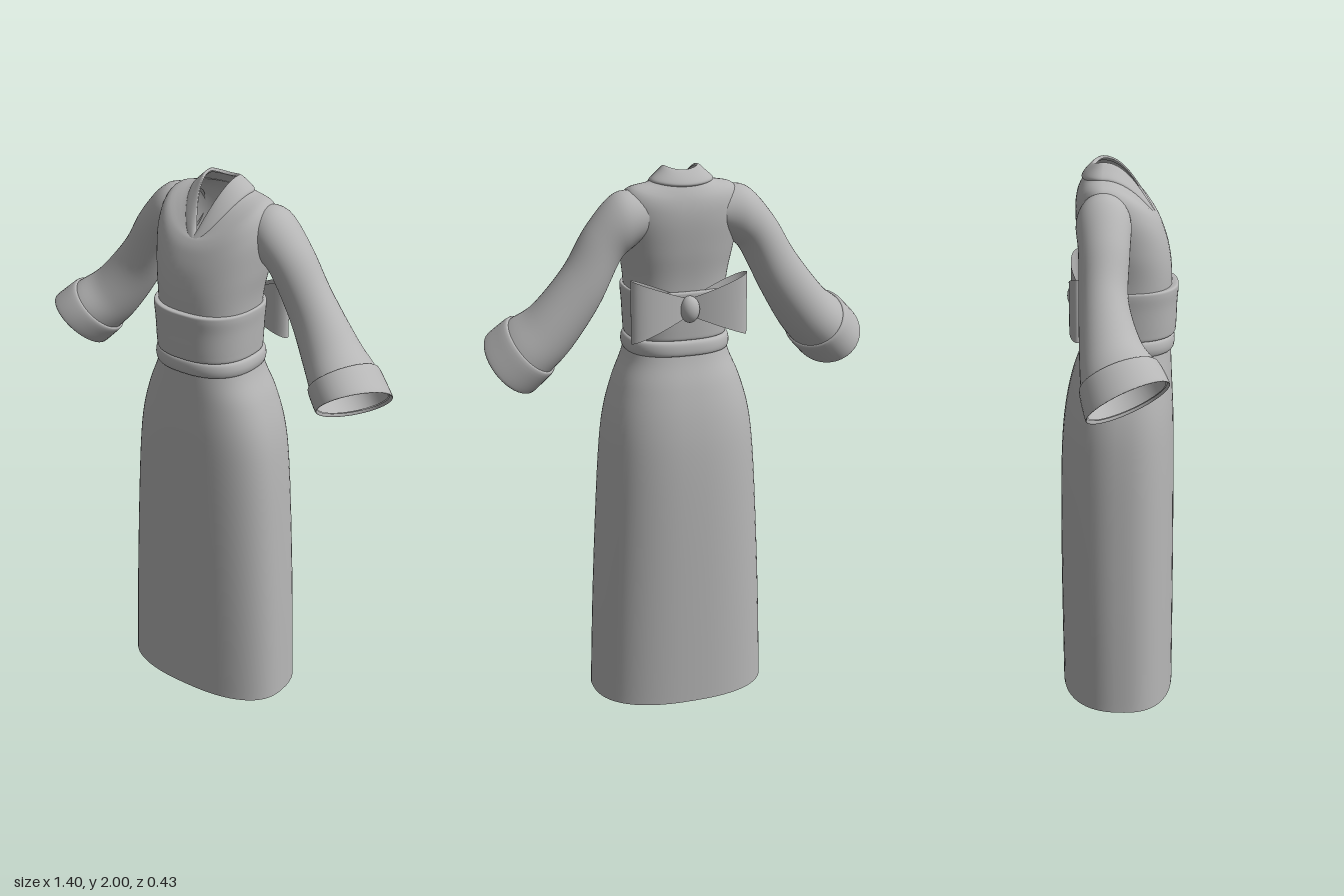
import * as THREE from 'three';

const cloth = new THREE.MeshStandardMaterial({ color: 0xb6b6b6, side: THREE.DoubleSide });
cloth.name = 'grey cloth';

// Smooth surface, closed around u and open along v
function tubeSurface(nu, nv, point) {
  const pos = [], index = [];
  for (let j = 0; j <= nv; j++)
    for (let i = 0; i < nu; i++) pos.push(...point((i / nu) * Math.PI * 2, j / nv));
  for (let j = 0; j < nv; j++)
    for (let i = 0; i < nu; i++) {
      const a = j * nu + i, b = j * nu + ((i + 1) % nu);
      index.push(a, a + nu, b, b, a + nu, b + nu);
    }
  const g = new THREE.BufferGeometry();
  g.setAttribute('position', new THREE.Float32BufferAttribute(pos, 3));
  g.setIndex(index);
  g.computeVertexNormals();
  return g;
}

// Catmull-Rom blend between rows of numbers
function blend(rows, t) {
  const f = t * (rows.length - 1), k = Math.min(Math.floor(f), rows.length - 2), u = f - k;
  const [a, b, c, d] = [k - 1, k, k + 1, k + 2].map(
    (n) => rows[Math.max(0, Math.min(rows.length - 1, n))]);
  return b.map((q, i) => q + 0.5 * u * (c[i] - a[i]
    + u * (2 * a[i] - 5 * q + 4 * c[i] - d[i] + u * (3 * (q - c[i]) + d[i] - a[i]))));
}

// Body rows: half width, z front, z back, z side, y side, y front, y back, roundness
function bodyLoft(rows, steps = 6) {
  return tubeSurface(64, (rows.length - 1) * steps, (a, t) => {
    const [w, zf, zb, zc, ys, yf, yb, p] = blend(rows, t);
    const c = Math.cos(a), s = Math.sin(a), q = s > 0 ? p : Math.min(p, 1);
    const x = w * Math.sign(c) * Math.abs(c) ** q;
    const z = zc + ((s > 0 ? zf : zb) - zc) * Math.abs(s) ** Math.min(p, 1);
    return [x, ys + ((s > 0 ? yf : yb) - ys) * s * s, z];
  });
}
const level = (y, w, zf, zb, p = 0.82) => [w, zf, zb, 0.02, y, y, y, p];

// Sleeve rows: centre xyz, up axis xyz, front axis xyz
function sleeveLoft(rows, side, steps = 6) {
  return tubeSurface(40, (rows.length - 1) * steps, (a, t) => {
    const r = blend(rows, t), c = Math.cos(a), s = -side * Math.sin(a);
    const p = [0, 1, 2].map((i) => r[i] + r[i + 3] * c + r[i + 6] * s);
    return [p[0] * side, p[1], p[2]];
  });
}

export function createModel() {
  const model = new THREE.Group();
  model.name = 'robe';
  const add = (name, geometry) => {
    const m = new THREE.Mesh(geometry, cloth);
    m.name = name;
    model.add(m);
    return m;
  };

  // Long skirt, open at the hem
  add('skirt', bodyLoft([
    level(0, 0.33, 0.206, -0.21),
    level(0.35, 0.318, 0.206, -0.213),
    level(0.7, 0.301, 0.205, -0.213),
    level(0.95, 0.285, 0.203, -0.207),
    level(1.1, 0.266, 0.2, -0.193),
    level(1.22, 0.232, 0.194, -0.168),
    level(1.31, 0.194, 0.19, -0.138),
    level(1.38, 0.175, 0.185, -0.12),
  ]));

  // Bodice, from waist over the shoulders to the neck
  add('bodice', bodyLoft([
    level(1.38, 0.172, 0.185, -0.115),
    level(1.58, 0.182, 0.191, -0.122),
    [0.203, 0.181, -0.14, 0, 1.71, 1.69, 1.71, 0.85],
    [0.215, 0.157, -0.15, -0.03, 1.84, 1.77, 1.82, 0.85],
    [0.19, 0.135, -0.143, -0.05, 1.925, 1.81, 1.89, 0.9],
    [0.11, 0.122, -0.12, -0.055, 1.95, 1.82, 1.94, 1.3],
    [0.063, 0.113, -0.09, -0.05, 1.985, 1.83, 1.975, 2],
  ]));

  // Raised collar band with a pointed neckline
  add('collar', bodyLoft([
    [0.112, 0.132, -0.122, -0.055, 1.945, 1.79, 1.935, 1.5],
    [0.11, 0.138, -0.127, -0.055, 1.957, 1.797, 1.945, 1.5],
    [0.085, 0.13, -0.112, -0.053, 1.98, 1.815, 1.967, 1.8],
    [0.062, 0.115, -0.088, -0.05, 2, 1.83, 1.988, 2],
    [0.055, 0.108, -0.078, -0.045, 1.992, 1.83, 1.98, 2],
  ]));

  // Wide sash and the narrow cord band under it
  add('sash', bodyLoft([
    level(1.395, 0.168, 0.18, -0.11),
    level(1.392, 0.18, 0.202, -0.126),
    level(1.42, 0.183, 0.207, -0.13),
    level(1.5, 0.187, 0.21, -0.134),
    level(1.55, 0.191, 0.214, -0.138),
    level(1.567, 0.188, 0.21, -0.134),
    level(1.565, 0.172, 0.182, -0.11),
  ]));
  add('lowerSash', bodyLoft([
    level(1.337, 0.172, 0.18, -0.115),
    level(1.337, 0.186, 0.197, -0.137),
    level(1.36, 0.192, 0.202, -0.141),
    level(1.385, 0.186, 0.197, -0.134),
    level(1.392, 0.168, 0.18, -0.11),
  ]));

  for (const side of [1, -1]) {
    const tag = side > 0 ? 'left' : 'right';

    // Flaring sleeve that bends forward
    add(tag + 'Sleeve', sleeveLoft([
      [0.14, 1.83, -0.05, -0.01, 0.085, 0, 0, 0, 0.08],
      [0.215, 1.815, -0.05, 0.02, 0.1, 0, 0, 0, 0.094],
      [0.285, 1.74, -0.048, 0.055, 0.065, 0, 0, 0, 0.087],
      [0.365, 1.598, -0.05, 0.06, 0.07, 0, 0, 0, 0.084],
      [0.465, 1.46, -0.028, 0.073, 0.07, 0, -0.02, 0.02, 0.102],
      [0.54, 1.387, 0.002, 0.08, 0.077, 0, -0.03, 0.035, 0.125],
      [0.595, 1.33, 0.027, 0.085, 0.068, 0, -0.032, 0.046, 0.128],
    ], side));

    // Turned cuff around the open end
    add(tag + 'Cuff', sleeveLoft([
      [0.535, 1.392, 0, 0.076, 0.073, 0, -0.029, 0.034, 0.12],
      [0.538, 1.389, 0.001, 0.086, 0.082, 0, -0.031, 0.037, 0.131],
      [0.57, 1.357, 0.016, 0.091, 0.08, 0, -0.033, 0.044, 0.137],
      [0.602, 1.325, 0.03, 0.094, 0.076, 0, -0.035, 0.05, 0.138],
      [0.597, 1.33, 0.028, 0.087, 0.069, 0, -0.033, 0.047, 0.13],
    ], side, 4));

    // Bow loop: a folded ribbon, open above and below
    add(tag + 'BowLoop', tubeSurface(40, 8, (a, t) => {
      const x = 0.113 + 0.1 * Math.cos(a), k = x / 0.213;
      const h = 0.03 + 0.083 * k;
      const z = -0.142 + side * 0.038 * Math.sin(a) * Math.sqrt(k);
      return [side * x, 1.515 + (2 * t - 1) * h, z];
    }));
  }

  // Knot that pinches the bow
  const knot = add('bowKnot', new THREE.SphereGeometry(1, 24, 16));
  knot.scale.set(0.035, 0.048, 0.034);
  knot.position.set(0, 1.51, -0.148);

  return model;
}
